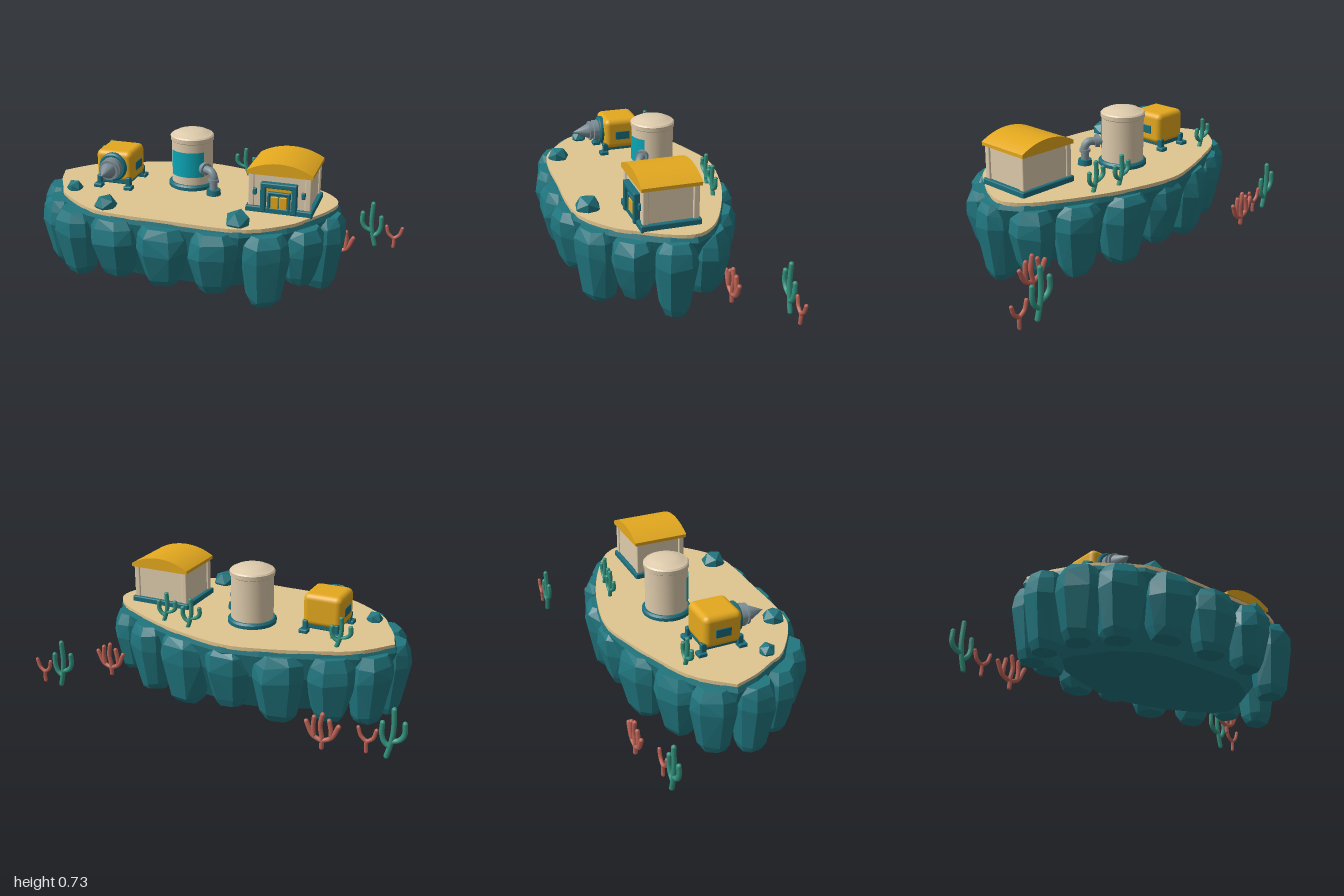
import * as THREE from 'three';
import { toCreasedNormals } from 'three/addons/utils/BufferGeometryUtils.js';
import { RoundedBoxGeometry } from 'three/addons/geometries/RoundedBoxGeometry.js';
import { ConvexGeometry } from 'three/addons/geometries/ConvexGeometry.js';

const material = (name, color) => Object.assign(new THREE.MeshStandardMaterial({ color }), { name });
const rock = material('teal rock', 0x21767f);
const sand = material('sand', 0xdfc590);
const cream = material('cream wall', 0xdecbac);
const yellow = material('yellow paint', 0xe3a81e);
const trim = material('teal trim', 0x1c6e7b);
const glass = material('bright teal panel', 0x0aa6b6);
const metal = material('grey metal', 0x7d8f96);
const green = material('green coral', 0x33937f);
const red = material('red coral', 0xbd6255);
glass.side = THREE.DoubleSide;

const V = (x, y, z) => new THREE.Vector3(x, y, z);

function add(parent, name, geometry, mat, x = 0, y = 0, z = 0) {
  const mesh = new THREE.Mesh(geometry, mat);
  mesh.name = name;
  mesh.position.set(x, y, z);
  parent.add(mesh);
  return mesh;
}

function section(parent, name, x = 0, y = 0, z = 0) {
  const g = new THREE.Group();
  g.name = name;
  g.position.set(x, y, z);
  parent.add(g);
  return g;
}

const box = (w, h, d, r = 0.006) => new RoundedBoxGeometry(w, h, d, 2, r);
const lathe = (pts, n = 40) =>
  toCreasedNormals(new THREE.LatheGeometry(pts.map(p => new THREE.Vector2(...p)), n), 0.6);

let seed = 7;
const rand = () => (seed = (seed * 16807) % 2147483647) / 2147483647;

// Plan of the island rim as x, z pairs
const RIM = [[-.825, -.08], [-.69, -.23], [-.5, -.32], [-.265, -.4], [-.09, -.43], [.135, -.39], [.32, -.33],
  [.51, -.24], [.63, -.16], [.69, -.06], [.66, .06], [.59, .18], [.5, .3], [.3, .415], [-.08, .42],
  [-.32, .415], [-.48, .38], [-.67, .24], [-.73, .14], [-.785, .04]].map(p => new THREE.Vector2(...p));

// Boulders round the rim: x, z, half width, top, bottom
const BOULDERS = [[-.57, .31, .11, .38, .04], [-.34, .375, .125, .39, .09], [-.08, .395, .125, .385, .085],
  [.175, .39, .115, .39, .08], [.41, .33, .11, .385, .015], [.56, .195, .1, .38, .09], [.635, .02, .095, .385, 0],
  [.575, -.15, .105, .38, .07], [.4, -.26, .11, .385, .03], [.16, -.335, .125, .39, .04], [-.09, -.35, .12, .39, .08],
  [-.34, -.325, .125, .385, .04], [-.57, -.245, .115, .385, .06], [-.73, -.14, .105, .385, .03],
  [-.775, .03, .095, .385, .01], [-.7, .19, .105, .38, .03]];

// Rounded rock, widest near the top and tapering down
function boulderGeometry(w, top, bottom) {
  const rings = [[top + .012, .72], [top - .035, .95], [top - .11, 1], [bottom + .045, .72], [bottom, .54]];
  const corners = [[1, .42], [.52, .95], [-.52, .95], [-1, .42], [-1, -.42], [-.52, -.95], [.52, -.95], [1, -.42]];
  const pts = [];
  rings.forEach(([y, s], k) => {
    for (const [cx, cz] of corners) {
      const j = s * (.95 + .1 * rand());
      const dy = k === 0 ? 0 : k === 4 ? .012 * rand() : (rand() - .5) * .025;
      pts.push(V(cx * w * j, y + dy, cz * .107 * j - (k > 2 ? .008 : 0)));
    }
  });
  return new ConvexGeometry(pts);
}

function buildIsland(root) {
  const island = section(root, 'island');
  const rim = new THREE.SplineCurve([...RIM, RIM[0]]).getPoints(70).slice(0, -1);

  const top = new THREE.ExtrudeGeometry(new THREE.Shape(rim), { depth: .018, bevelEnabled: false });
  top.rotateX(Math.PI / 2);
  add(island, 'sandTop', top, sand, 0, .43, 0);

  const core = [];
  for (const [y, s] of [[.415, 1.005], [.39, 1.02], [.27, .96], [.06, .72]])
    RIM.forEach(p => core.push(V((p.x + .07) * s - .07, y, p.y * s)));
  add(island, 'rockCore', new ConvexGeometry(core), rock);

  for (const [x, z, w, t, b] of BOULDERS) {
    const m = add(island, 'rimBoulder', boulderGeometry(w, t, b), rock, x, 0, z);
    m.rotation.y = Math.atan2((x + .07) / .56, z / .17);
  }

  // Loose faceted stones on the sand
  for (const [x, z, r] of [[-.65, .165, .043], [-.4, .34, .058], [.28, .345, .066]]) {
    const m = add(island, 'looseStone', new THREE.IcosahedronGeometry(r, 0), rock, x, .44, z);
    m.scale.y = .95;
    m.rotation.y = x * 5;
  }
}

function buildHut(root) {
  const hut = section(root, 'hut', .435, 0, .03);
  add(hut, 'foundation', box(.332, .035, .295), trim, 0, .44, 0);
  add(hut, 'walls', box(.29, .2, .26, .004), cream, 0, .535, 0);
  for (const x of [-.14, .14]) for (const z of [-.122, .122])
    add(hut, 'cornerPost', box(.03, .17, .03), cream, x, .54, z);

  // Barrel roof with short upright eaves
  const half = .163, R = .318, a = Math.asin(half / R);
  const shape = new THREE.Shape();
  shape.moveTo(-half, .623);
  shape.lineTo(half, .623);
  shape.absarc(0, .685 - R, R, Math.PI / 2 - a, Math.PI / 2 + a, false);
  const roof = new THREE.ExtrudeGeometry(shape, { depth: .292, bevelEnabled: false, curveSegments: 24 });
  add(hut, 'roof', toCreasedNormals(roof, .5), yellow, 0, 0, -.146);

  // Doorway with two leaves
  for (const s of [-1, 1]) {
    add(hut, 'doorPost', box(.026, .14, .035), trim, s * .077, .505, .142);
    add(hut, 'innerPost', box(.014, .1, .022), trim, s * .05, .49, .138);
    add(hut, 'doorLeaf', box(.038, .078, .012, .004), yellow, s * .021, .477, .14);
    add(hut, 'wallLamp', box(.02, .035, .016), trim, s * .12, .535, .14);
  }
  add(hut, 'lintel', box(.18, .026, .035), trim, 0, .575, .142);
  add(hut, 'yellowHeader', box(.126, .022, .012, .004), yellow, 0, .55, .134);
  add(hut, 'innerLintel', box(.114, .014, .022), trim, 0, .533, .138);
  add(hut, 'doorRecess', box(.1, .1, .008, .002), trim, 0, .485, .131);
}

function buildTank(root) {
  const tank = section(root, 'tank', -.093, 0, -.1);
  add(tank, 'tankBase', lathe([[0, .425], [.123, .425], [.123, .447], [.115, .457], [0, .457]]), trim);
  add(tank, 'tankBody', lathe([[.107, .45], [.107, .675], [.112, .679], [.113, .7], [.106, .707],
    [.098, .708], [.08, .72], [.045, .727], [0, .73]]), cream);
  const window = new THREE.CylinderGeometry(.111, .111, .133, 24, 1, true, -.88, 1.76);
  add(tank, 'curvedWindow', window, glass, 0, .566, 0);

  // Outlet pipe bending down to the ground
  const pipe = section(root, 'outletPipe');
  const path = new THREE.CatmullRomCurve3([V(-.04, .55, -.045), V(.015, .55, -.005), V(.045, .547, .012),
    V(.06, .525, .02), V(.06, .49, .02), V(.06, .43, .02)]);
  add(pipe, 'pipe', new THREE.TubeGeometry(path, 32, .021, 14), metal);
  const flange = add(pipe, 'wallFlange', new THREE.CylinderGeometry(.033, .033, .022, 20), metal, .004, .55, -.013);
  flange.quaternion.setFromUnitVectors(V(0, 1, 0), V(.8, 0, .6));
  add(pipe, 'pipeCollar', new THREE.CylinderGeometry(.028, .028, .014, 20), metal, .06, .505, .02);
  add(pipe, 'groundFlange', new THREE.CylinderGeometry(.034, .038, .03, 20), trim, .06, .443, .02);
}

function buildDrill(root) {
  const drill = section(root, 'drillMachine', -.465, 0, -.018);
  add(drill, 'drillHousing', new RoundedBoxGeometry(.198, .165, .196, 4, .03), yellow, 0, .543, 0);
  add(drill, 'chassis', box(.16, .03, .18), trim, 0, .462, 0);
  for (const s of [-1, 1]) {
    for (const t of [-1, 1]) {
      add(drill, 'foot', box(.045, .022, .045), trim, s * .083, .438, t * .105);
      add(drill, 'leg', box(.026, .055, .03), trim, s * .08, .465, t * .095);
    }
    add(drill, 'sideVent', box(.008, .045, .08, .003), trim, s * .099, .535, 0);
  }
  // Collar, stepped chuck and cone point forward
  const head = section(drill, 'drillHead', 0, .545, .09);
  head.rotation.x = Math.PI / 2;
  add(head, 'drillCollar', lathe([[0, 0], [.074, 0], [.074, .02], [.066, .027], [0, .027]]), trim);
  add(head, 'drillChuck', lathe([[0, .02], [.056, .02], [.056, .055], [.046, .058], [.046, .066], [.052, .068], [.052, .078], [0, .078]]), metal);
  add(head, 'drillPoint', lathe([[.04, .075], [.04, .085], [0, .168]], 24), metal);
}

// Coral branches: tubes with rounded tips, given as x, y points in one plane
const CORALS = {
  cactus: { mat: green, r: .0125, arms: [
    [[.025, .01], [.01, .07], [0, .14], [.003, .25]],
    [[.004, .09], [-.03, .105], [-.05, .135], [-.05, .19]],
    [[.012, .06], [.038, .08], [.052, .115], [.052, .175]]] },
  fork: { mat: red, r: .0095, arms: [
    [[0, .01], [.002, .035], [0, .065]],
    [[0, .06], [-.03, .085], [-.043, .127]],
    [[0, .06], [.028, .085], [.042, .125]]] },
  fan: { mat: red, r: .0115, arms: [
    [[0, .01], [0, .06], [.01, .12], [0, .18]],
    [[0, .045], [-.045, .07], [-.078, .135]],
    [[0, .045], [.045, .065], [.078, .13]],
    [[-.045, .072], [-.042, .11], [-.033, .155]],
    [[.04, .065], [.044, .11], [.04, .16]]] },
};

function addCoral(root, kind, x, y, z, sx = 1, sy = 1) {
  const { mat, r, arms } = CORALS[kind];
  const coral = section(root, kind + 'Coral', x, y, z);
  coral.scale.set(sx, sy, sx);
  for (const arm of arms) {
    const pts = arm.map(p => V(p[0], p[1], 0));
    add(coral, 'branch', new THREE.TubeGeometry(new THREE.CatmullRomCurve3(pts), 14, r, 8), mat);
    for (const p of [pts[0], pts[pts.length - 1]])
      add(coral, 'branchTip', new THREE.SphereGeometry(r, 8, 6), mat, p.x, p.y, p.z);
  }
}

export function createModel() {
  const root = new THREE.Group();
  root.name = 'floatingIslandOutpost';
  buildIsland(root);
  buildHut(root);
  buildTank(root);
  buildDrill(root);
  for (const [x, z] of [[-.605, -.22], [.14, -.31], [.29, -.285]]) addCoral(root, 'cactus', x, .42, z, .9, .62);
  addCoral(root, 'cactus', -.94, .03, -.435);
  addCoral(root, 'cactus', .82, .03, -.47);
  addCoral(root, 'fork', -.82, .03, -.435);
  addCoral(root, 'fork', .947, .03, -.47);
  addCoral(root, 'fan', -.625, .03, -.49);
  addCoral(root, 'fan', .675, .03, -.25);
  return root;
}
